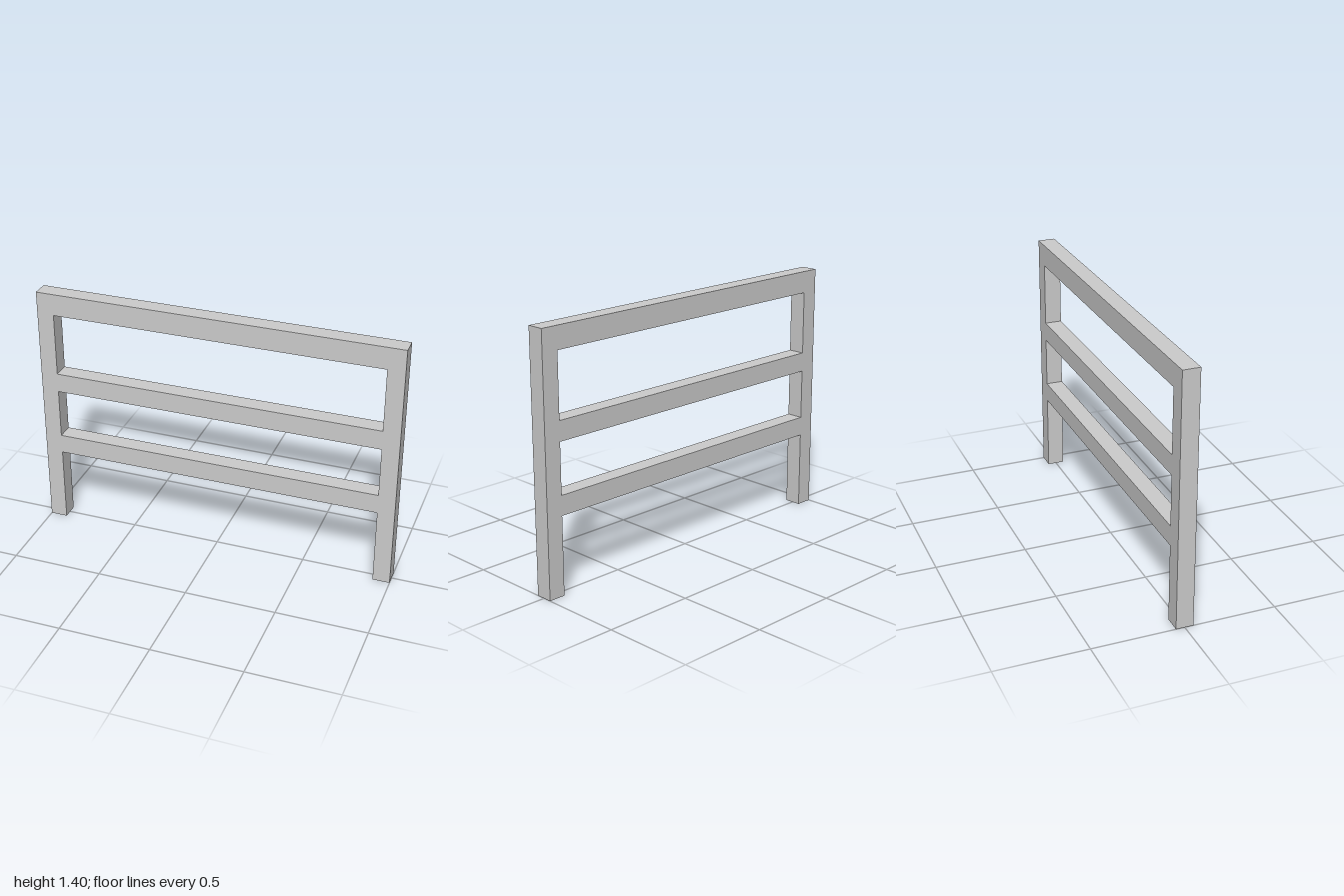
import * as THREE from 'three';

const HEIGHT = 1.397, POST = 0.094, DEPTH = 0.094;
const INNER = 1 - POST;

const points = (list) => list.map(([x, y]) => new THREE.Vector2(x, y));

// Rectangular opening between the posts
const opening = (bottom, top) => new THREE.Path(points([
  [-INNER, bottom], [-INNER, top], [INNER, top], [INNER, bottom],
]));

export function createModel() {
  const group = new THREE.Group();
  group.name = 'railFrame';

  // Outline: two posts standing below the lowest rail
  const shape = new THREE.Shape(points([
    [-1, 0], [-INNER, 0], [-INNER, 0.43], [INNER, 0.43],
    [INNER, 0], [1, 0], [1, HEIGHT], [-1, HEIGHT],
  ]));

  // Gaps that leave the lower, middle and top rails
  shape.holes.push(opening(0.538, 0.816), opening(0.924, 1.275));

  const geometry = new THREE.ExtrudeGeometry(shape, { depth: DEPTH, bevelEnabled: false });
  geometry.translate(0, 0, -DEPTH / 2);

  const frame = new THREE.Mesh(geometry, new THREE.MeshStandardMaterial({ color: 0xcccccc }));
  frame.name = 'postsAndRails';
  group.add(frame);
  return group;
}
